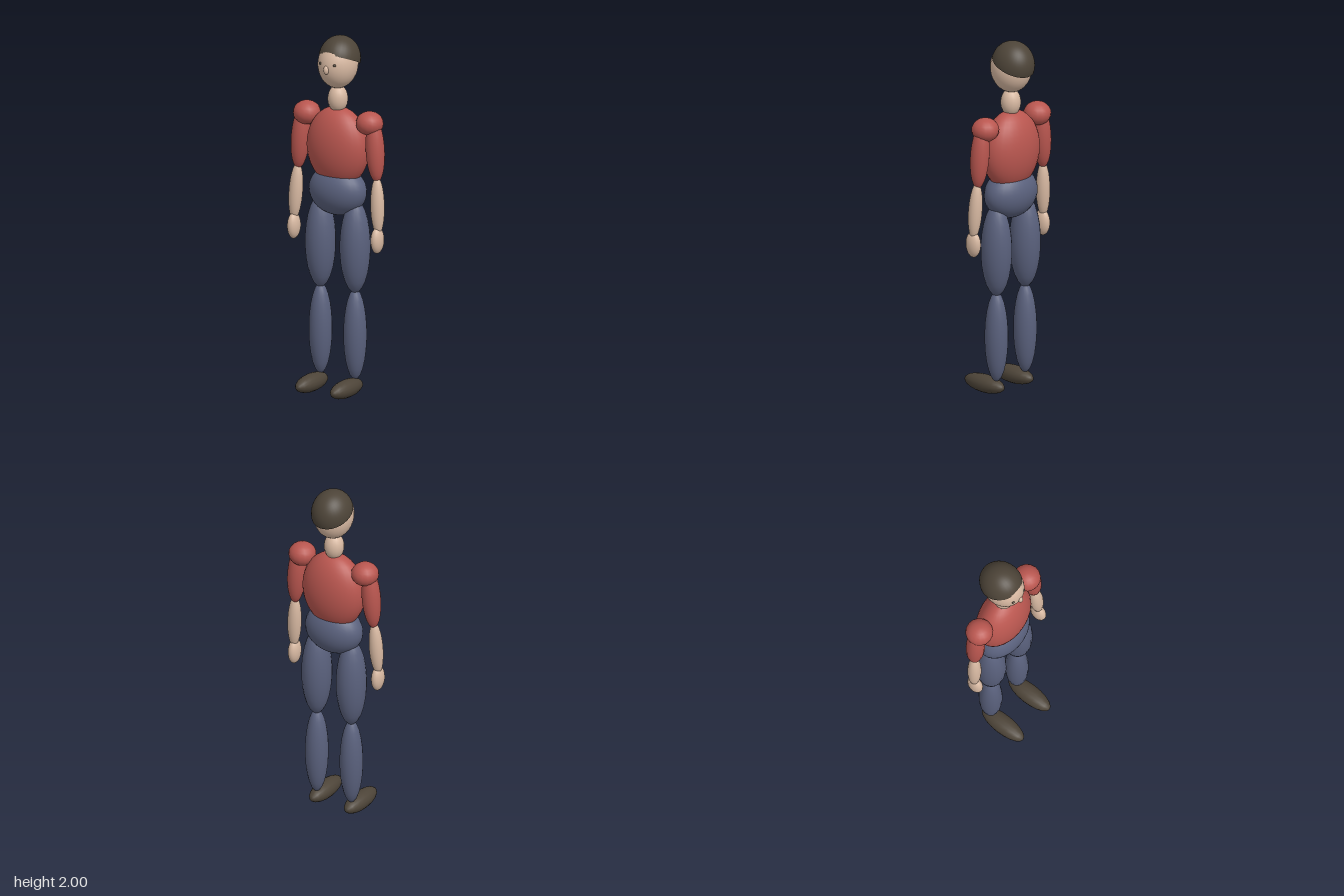
import * as THREE from 'three';

export function createModel() {
  const mat = (name, color) => {
    const m = new THREE.MeshStandardMaterial({ color });
    m.name = name;
    return m;
  };
  const skin = mat('skin', 0xd8b9a2);
  const shirt = mat('red shirt', 0xb9564f);
  const trousers = mat('blue trousers', 0x5a617d);
  const dark = mat('dark brown', 0x4d4438);

  const figure = new THREE.Group();
  figure.name = 'figure';
  const add = (name, geometry, material) => {
    const mesh = new THREE.Mesh(geometry, material);
    mesh.name = name;
    figure.add(mesh);
    return mesh;
  };

  // Ellipsoid with given centre and radii
  const blob = (name, material, [x, y, z], [rx, ry, rz], seg = 18) => {
    const mesh = add(name, new THREE.SphereGeometry(1, seg, Math.ceil(seg * 0.7)).scale(rx, ry, rz), material);
    mesh.position.set(x, y, z);
    return mesh;
  };

  // Slender ellipsoid stretched between two points
  const limb = (name, material, from, to, rx, rz) => {
    const a = new THREE.Vector3(...from), b = new THREE.Vector3(...to);
    const axis = a.clone().sub(b);
    const centre = a.add(b).multiplyScalar(0.5);
    const mesh = blob(name, material, centre.toArray(), [rx, axis.length() / 2, rz]);
    mesh.quaternion.setFromUnitVectors(new THREE.Vector3(0, 1, 0), axis.normalize());
    return mesh;
  };

  // Trunk, neck and head
  blob('pelvis', trousers, [0, 1.135, -0.043], [0.173, 0.14, 0.116], 28);
  blob('torso', shirt, [0, 1.38, -0.045], [0.188, 0.225, 0.121], 28);
  blob('neck', skin, [0, 1.65, -0.043], [0.056, 0.078, 0.056]);
  blob('head', skin, [0, 1.848, -0.045], [0.107, 0.137, 0.12], 28);
  blob('nose', skin, [0, 1.836, 0.072], [0.015, 0.025, 0.018], 12);

  // Hair cap, tilted down towards the back
  const cap = new THREE.SphereGeometry(1, 32, 14, 0, Math.PI * 2, 0, Math.PI / 2)
    .rotateX(-0.38).scale(0.112, 0.13, 0.125).translate(0, 1.87, -0.06);
  const capMaterial = dark.clone();
  capMaterial.side = THREE.DoubleSide;
  add('hair', cap, capMaterial);

  // Paired parts
  for (const [side, s] of [['left', 1], ['right', -1]]) {
    blob(`${side}Eye`, dark, [s * 0.045, 1.866, 0.061], [0.009, 0.008, 0.008], 10);

    blob(`${side}Shoulder`, shirt, [s * 0.203, 1.54, -0.047], [0.076, 0.066, 0.076], 16);
    limb(`${side}UpperArm`, shirt, [s * 0.228, 1.58, -0.046], [s * 0.255, 1.215, -0.04], 0.052, 0.053);
    limb(`${side}Forearm`, skin, [s * 0.256, 1.25, -0.038], [s * 0.273, 0.925, -0.024], 0.039, 0.038);
    blob(`${side}Hand`, skin, [s * 0.27, 0.896, -0.021], [0.032, 0.074, 0.048]);

    blob(`${side}Thigh`, trousers, [s * 0.112, 0.832, -0.043], [0.083, 0.262, 0.089]);
    blob(`${side}Shin`, trousers, [s * 0.112, 0.337, -0.043], [0.064, 0.256, 0.066]);

    // Shoe with its poles at toe and heel
    const shoe = new THREE.SphereGeometry(1, 16, 10).rotateX(Math.PI / 2).scale(0.054, 0.05, 0.142);
    add(`${side}Shoe`, shoe, dark).position.set(s * 0.113, 0.05, 0.045);
  }
  return figure;
}
